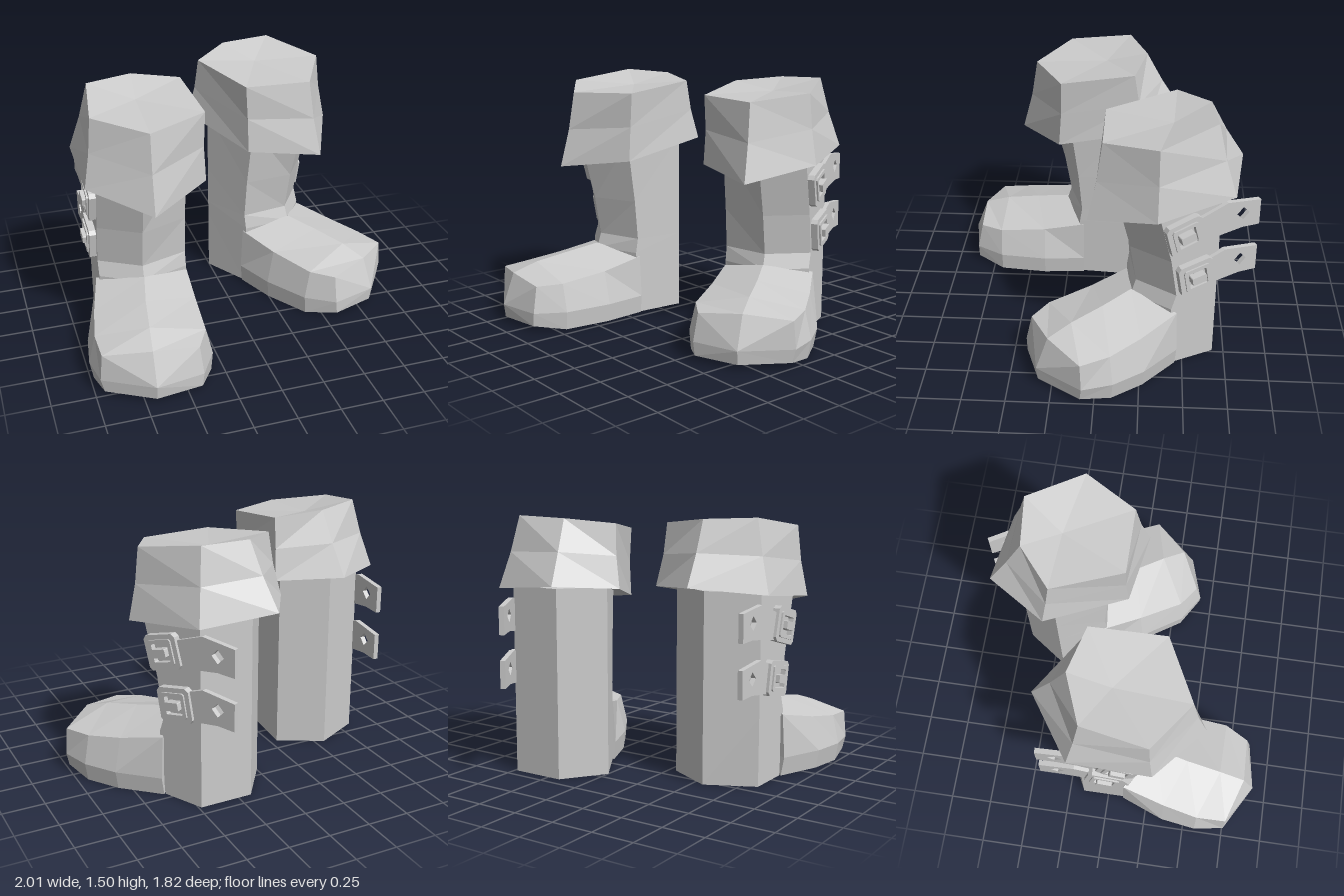
import * as THREE from 'three';

const material = new THREE.MeshStandardMaterial({ color: 0xcccccc, flatShading: true, side: THREE.DoubleSide });
const CX = -0.565, CZ = 0.04; // middle of the boot shaft

// Skins a list of closed rings and closes both ends with fans
function loft(rings, endTip) {
  const pos = [];
  const tri = (...p) => p.forEach((q) => pos.push(...q));
  const middle = (ring) => [0, 1, 2].map((k) => ring.reduce((s, p) => s + p[k], 0) / ring.length);
  const first = rings[0], last = rings[rings.length - 1], n = first.length;
  const startTip = middle(first);
  const tip = endTip || middle(last);
  for (let i = 0; i < n; i++) {
    const j = (i + 1) % n;
    for (let r = 0; r < rings.length - 1; r++) {
      const a = rings[r], b = rings[r + 1];
      tri(a[i], a[j], b[j]);
      tri(a[i], b[j], b[i]);
    }
    tri(first[j], first[i], startTip);
    tri(last[i], last[j], tip);
  }
  const g = new THREE.BufferGeometry();
  g.setAttribute('position', new THREE.Float32BufferAttribute(pos, 3));
  return g;
}

// Six-sided shaft, leaning forward towards the top
function shaftGeometry() {
  const hex = [[-0.6, 0.24], [-0.32, 0.15], [-0.295, -0.16], [-0.56, -0.3], [-0.84, -0.16], [-0.84, 0.1]];
  const lean = [1, 0.5, 0, 0, 0, 1];
  const levels = [[0, 0], [0.39, 0.03], [0.48, 0], [0.72, 0.04], [1.1, 0.14]];
  return loft(levels.map(([y, d]) => hex.map(([x, z], i) => [x, y, z + d * lean[i]])));
}

// Foot sections from the instep to the toe
function footGeometry() {
  const section = ({ xo, xr, xi, zo, zr, zi, side, ridge, inset, lift = 0, nose = 0 }) => [
    [xo + 0.02, lift, zo], [xr, lift, zr + nose], [xi - 0.01, lift, zi + nose / 2],
    [xi, 0.11, zi + nose / 2], [xi - inset, side, zi],
    [xr, ridge, zr], [xo + inset, side, zo], [xo, 0.11, zo],
  ];
  return loft([
    { xo: -0.87, xr: -0.6, xi: -0.3, zo: 0.1, zr: 0.27, zi: 0.14, side: 0.365, ridge: 0.42, inset: 0.015 },
    { xo: -0.97, xr: -0.64, xi: -0.28, zo: 0.36, zr: 0.47, zi: 0.4, side: 0.31, ridge: 0.385, inset: 0.05 },
    { xo: -1, xr: -0.67, xi: -0.31, zo: 0.57, zr: 0.68, zi: 0.69, side: 0.28, ridge: 0.35, inset: 0.04 },
    { xo: -0.97, xr: -0.69, xi: -0.41, zo: 0.75, zr: 0.835, zi: 0.83, side: 0.27, ridge: 0.3, inset: 0.015, lift: 0.03, nose: 0.065 },
  ].map(section), [-0.69, 0.11, 0.91]);
}

// Flared cuff, lower at the front, with a slightly sunken top
function cuffGeometry() {
  const hem = [[-0.58, 0.95, 0.54], [-0.22, 1, 0.28], [-0.21, 1.1, -0.25], [-0.55, 1.13, -0.46], [-0.91, 1.09, -0.21], [-0.91, 1.04, 0.27]];
  const rim = [[-0.57, 1.4, 0.44], [-0.215, 1.41, 0.26], [-0.24, 1.46, -0.18], [-0.52, 1.49, -0.25], [-0.8, 1.5, -0.14], [-0.855, 1.445, 0.24]];
  const shrink = (ring, s, lift) => ring.map(([x, y, z]) => [CX + (x - CX) * s, y + lift, CZ + (z - CZ) * s]);
  const between = hem.map((p, i) => p.map((v, k) => v + (rim[i][k] - v) * 0.5));
  return loft([shrink(hem, 0.6, 0.05), hem, shrink(between, 0.975, 0), rim], [-0.55, 1.425, 0]);
}

const polygon = (points, Kind = THREE.Shape) => new Kind(points.map(([u, v]) => new THREE.Vector2(u, v)));

// Rectangle with cut corners
const cutRect = (w, h, c) => [
  [-w + c, -h], [w - c, -h], [w, -h + c], [w, h - c], [w - c, h], [-w + c, h], [-w, h - c], [-w, -h + c],
];

// Extrudes a side-on outline and sets it on the outer face of the shaft
function sidePart(points, hole, depth, tilt, x, y, z) {
  const shape = polygon(points);
  if (hole) shape.holes.push(polygon(hole, THREE.Path));
  return new THREE.ExtrudeGeometry(shape, { depth, bevelEnabled: false })
    .rotateZ(tilt).rotateY(Math.PI / 2).translate(x, y, z);
}

function strapParts(y, z, tilt, holeY) {
  const strap = [[-0.3, -0.13], [0, -0.09], [0.11, -0.095], [0.11, 0.065], [-0.1, 0.09], [-0.3, 0.02]];
  const diamond = [[-0.04, 0], [0, -0.04], [0.04, 0], [0, 0.04]];
  return {
    strap: sidePart(strap, diamond, 0.03, 0, -0.863, holeY, -0.29),
    buckleFrame: sidePart(cutRect(0.11, 0.1, 0.02), cutRect(0.075, 0.068, 0.01), 0.05, tilt, -0.88, y, z),
    buckleRim: sidePart(cutRect(0.08, 0.073, 0.01), cutRect(0.057, 0.052, 0.005), 0.045, tilt, -0.89, y, z),
    buckleBack: sidePart(cutRect(0.08, 0.075, 0.01), null, 0.03, tilt, -0.86, y, z),
    bucklePin: sidePart(cutRect(0.045, 0.024, 0.004), null, 0.06, tilt, -0.908, y, z),
  };
}

function makeBoot(name, mirrored) {
  const boot = new THREE.Group();
  boot.name = name;
  const add = (parent, partName, source) => {
    const g = source.index ? source.toNonIndexed() : source;
    g.translate(-CX, 0, -CZ);
    if (mirrored) {
      // Mirror, then swap two corners of each triangle to keep it facing outwards
      g.scale(-1, 1, 1);
      const p = g.attributes.position;
      const a = new THREE.Vector3(), b = new THREE.Vector3();
      for (let i = 0; i < p.count; i += 3) {
        a.fromBufferAttribute(p, i + 1);
        b.fromBufferAttribute(p, i + 2);
        p.setXYZ(i + 1, b.x, b.y, b.z);
        p.setXYZ(i + 2, a.x, a.y, a.z);
      }
    }
    g.computeVertexNormals();
    const mesh = new THREE.Mesh(g, material);
    mesh.name = partName;
    parent.add(mesh);
  };
  add(boot, 'shaft', shaftGeometry());
  add(boot, 'foot', footGeometry());
  add(boot, 'cuff', cuffGeometry());
  const straps = { upperStrap: [0.89, 0.07, 0.26, 0.945], lowerStrap: [0.6, -0.01, 0.18, 0.64] };
  for (const [strapName, args] of Object.entries(straps)) {
    const group = new THREE.Group();
    group.name = strapName;
    for (const [part, g] of Object.entries(strapParts(...args))) add(group, part, g);
    boot.add(group);
  }
  return boot;
}

export function createModel() {
  const model = new THREE.Group();
  model.name = 'boots';
  const right = makeBoot('rightBoot', false);
  right.position.set(CX, 0, CZ);
  // The left boot stands further back, toe turned out
  const left = makeBoot('leftBoot', true);
  left.position.set(0.33, 0, -0.38);
  left.rotation.y = THREE.MathUtils.degToRad(27);
  model.add(right, left);
  return model;
}
